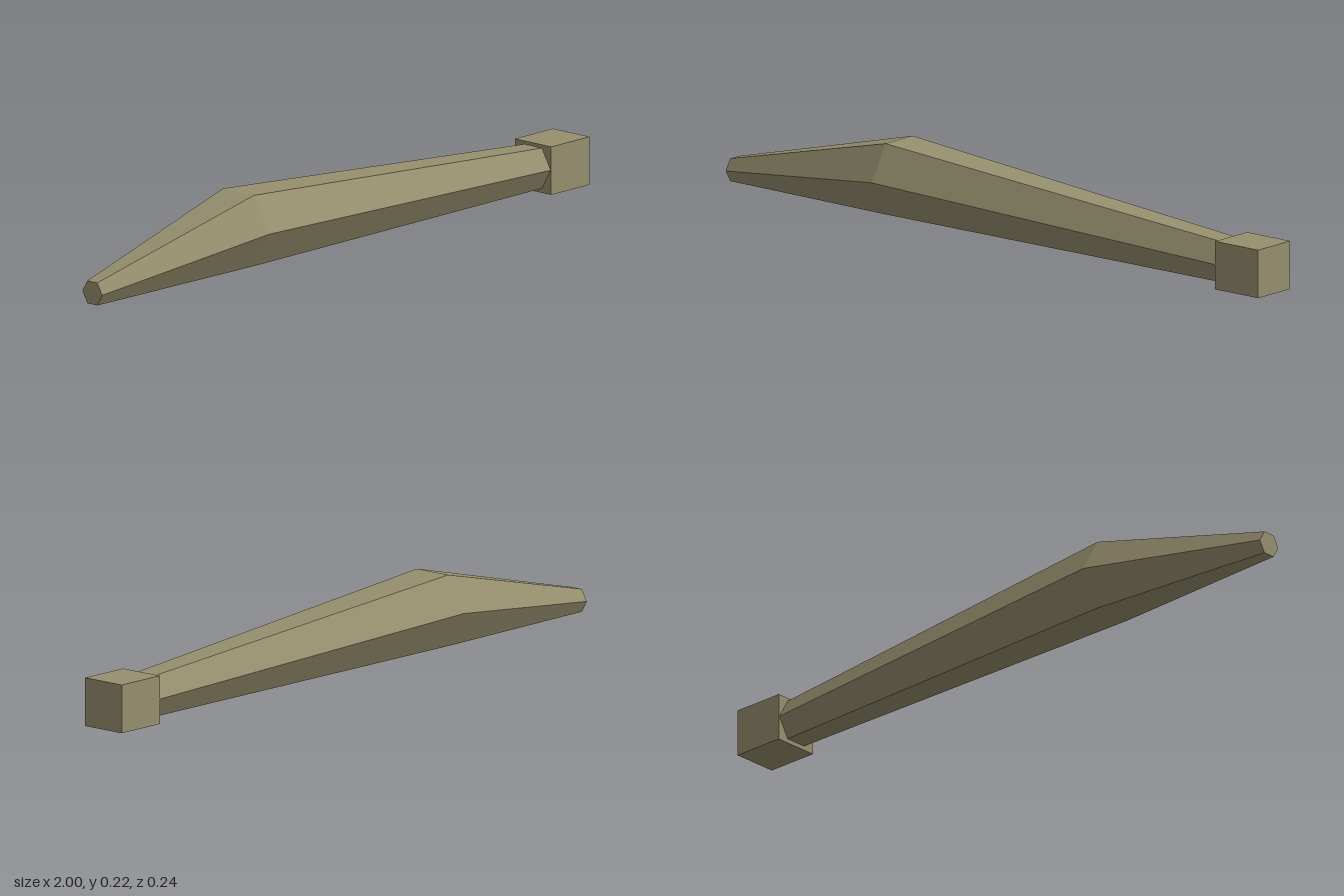
import * as THREE from 'three';

const olive = new THREE.MeshStandardMaterial({ color: 0x968f6e });
olive.name = 'olive drab';

// Six-sided body: a cylinder laid along x, its three rings moved to the given stations
function createBody() {
  const stations = [
    { x: -1.0, y: 0.0425, r: 0.038 },
    { x: -0.39, y: 0.1215, r: 0.119 },
    { x: 0.84, y: 0.0715, r: 0.068 },
  ];
  const tube = new THREE.CylinderGeometry(1, 1, 2, 6, 2);
  tube.rotateZ(-Math.PI / 2);
  const p = tube.attributes.position;
  for (let i = 0; i < p.count; i++) {
    const s = stations[Math.round(p.getX(i)) + 1];
    p.setXYZ(i, s.x, s.y + p.getY(i) * s.r, p.getZ(i) * s.r);
  }
  // Separate faces give flat facets
  const faceted = tube.toNonIndexed();
  faceted.computeVertexNormals();
  const mesh = new THREE.Mesh(faceted, olive);
  mesh.name = 'taperedBody';
  return mesh;
}

// Square block at the narrow end
function createEndBlock() {
  const mesh = new THREE.Mesh(new THREE.BoxGeometry(0.16, 0.14, 0.14), olive);
  mesh.position.set(0.92, 0.07, 0);
  mesh.name = 'endBlock';
  return mesh;
}

export function createModel() {
  const model = new THREE.Group();
  model.name = 'taperedClub';
  model.add(createBody(), createEndBlock());
  return model;
}
